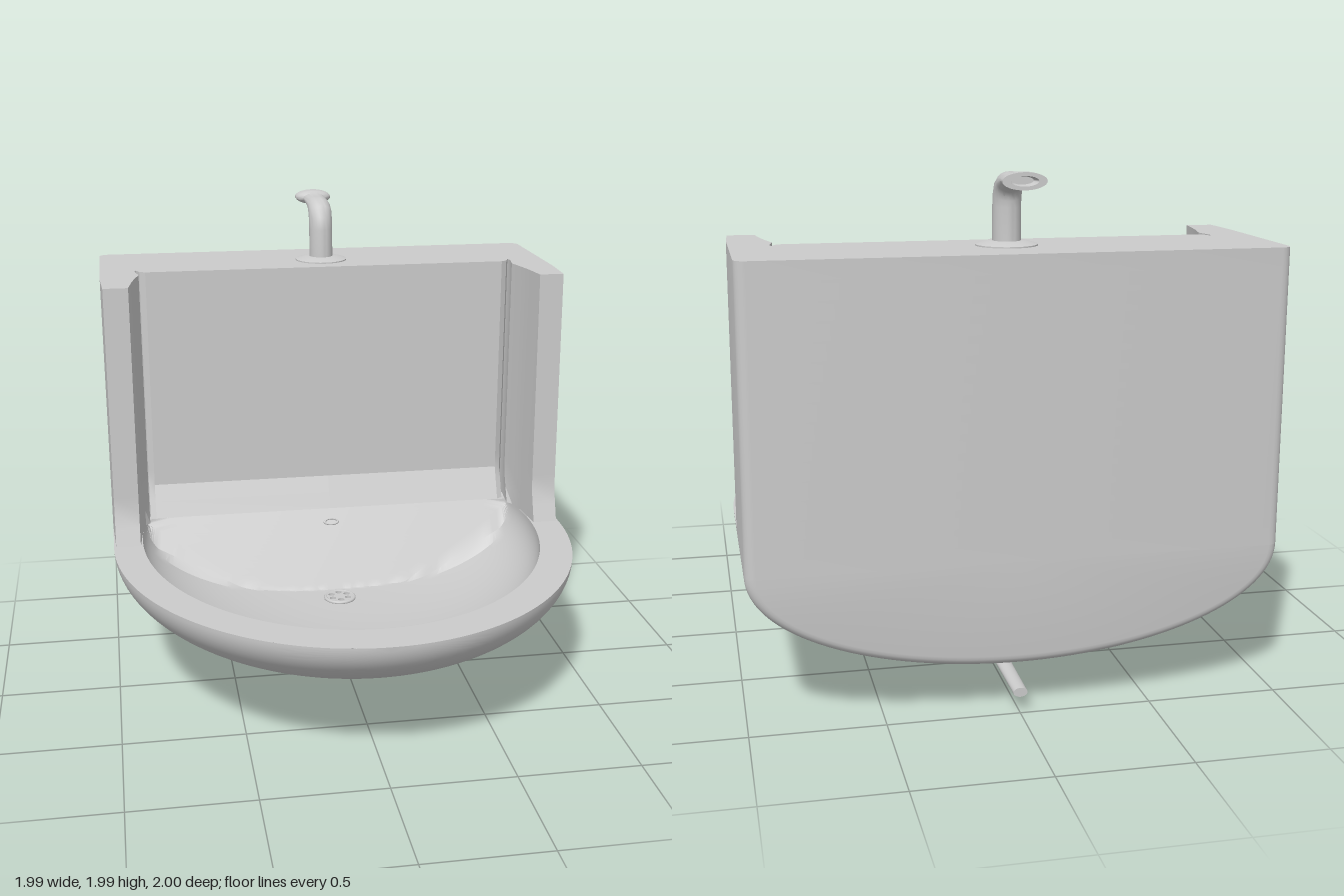
import * as THREE from 'three';
import { toCreasedNormals } from 'three/addons/utils/BufferGeometryUtils.js';

const material = new THREE.MeshStandardMaterial({ color: 0xcccccc, side: THREE.DoubleSide });
const RIM = 0.6, TOP = 1.72, W = 0.995;
const DRAIN_Z = -0.2, BACK_Z = -0.48, BOWL_X = 0.87, BOWL_Z = 1.04;

// Skin a list of equally long point rings
function loft(rings, closed) {
  const n = rings[0].length, pos = rings.flat(2), idx = [];
  const last = closed ? n : n - 1;
  for (let r = 0; r < rings.length - 1; r++) {
    for (let i = 0; i < last; i++) {
      const a = r * n + i, b = r * n + (i + 1) % n;
      idx.push(a, b, a + n, b, b + n, a + n);
    }
  }
  const g = new THREE.BufferGeometry();
  g.setAttribute('position', new THREE.Float32BufferAttribute(pos, 3));
  g.setIndex(idx);
  g.computeVertexNormals();
  return g;
}

// Underside: half-elliptical sections, rounded at the back, tapering to the front
function shellGeometry() {
  const rings = [];
  const section = (z, w, inset) => {
    const ring = [];
    for (let i = 0; i <= 64; i++) {
      const t = Math.PI * i / 64;
      ring.push([(W * w - inset) * Math.cos(t), RIM - (0.4 * w - inset) * Math.sin(t), z]);
    }
    rings.push(ring);
  };
  rings.push(Array.from({ length: 65 }, () => [0, RIM, -1]));
  for (let i = 0; i <= 5; i++) {
    const a = Math.PI / 2 * i / 5;
    section(-1 + 0.04 * (1 - Math.cos(a)), 1, 0.04 * (1 - Math.sin(a)));
  }
  section(-0.55, 1, 0);
  for (let i = 0; i <= 32; i++) {
    const t = Math.PI / 2 * i / 32;
    section(-0.15 + 1.15 * Math.sin(t), Math.cos(t), 0);
  }
  return toCreasedNormals(loft(rings, false), 0.7);
}

// Bowl opening: an ellipse cut straight at the back
function openingPoint(i, n) {
  const t = 2 * Math.PI * i / n;
  let x = BOWL_X * Math.cos(t), z = BOWL_Z * Math.sin(t);
  const limit = BACK_Z - DRAIN_Z;
  if (z < limit) { x *= limit / z; z = limit; }
  return [x, z];
}

// Bowl hollow with a sloping apron below the back wall
function bowlGeometry() {
  const n = 144, rings = [];
  for (let k = 0; k <= 40; k++) {
    const ring = [];
    for (let i = 0; i < n; i++) {
      const [ox, oz] = openingPoint(i, n);
      const s0 = 0.055 / Math.hypot(ox, oz);
      const s = s0 + (1 - s0) * Math.sin(Math.PI / 2 * k / 40);
      const x = ox * s, z = oz * s;
      const r = Math.min(1, Math.hypot(x / BOWL_X, z / BOWL_Z));
      const bowl = RIM - 0.33 * Math.sqrt(1 - r ** 2.5);
      const apron = RIM - 1.8 * (z + DRAIN_Z - BACK_Z);
      ring.push([x, Math.max(bowl, apron), z + DRAIN_Z]);
    }
    rings.push(ring);
  }
  return toCreasedNormals(loft(rings, true), 0.5);
}

// Flat rim around the opening
function rimGeometry() {
  const s = new THREE.Shape();
  s.moveTo(-W, 0.6);
  s.lineTo(-W, 0.15);
  s.absellipse(0, 0.15, W, 1.15, Math.PI, 2 * Math.PI, false);
  s.lineTo(W, 0.6);
  const hole = [];
  for (let i = 0; i < 144; i++) {
    const [x, z] = openingPoint(i, 144);
    hole.push(new THREE.Vector2(x, -(z + DRAIN_Z)));
  }
  s.holes.push(new THREE.Path(hole));
  return new THREE.ShapeGeometry(s, 48).rotateX(-Math.PI / 2).translate(0, RIM, 0);
}

// Upright back with two side wings, flared out at its foot
function wallGeometry() {
  const half = [[0, -0.54], [0.8, -0.54], [0.825, -0.555], [0.84, -0.59], [0.845, -0.56],
    [0.83, -0.48], [0.85, -0.4], [0.865, -0.32], [0.88, -0.21], [0.985, -0.21], [W, -0.4], [W, -0.96]];
  for (let i = 1; i <= 5; i++) {
    const a = Math.PI / 2 * i / 5;
    half.push([W - 0.04 + 0.04 * Math.cos(a), -0.96 - 0.04 * Math.sin(a)]);
  }
  const mirrored = half.slice(1).reverse().map(([x, z]) => [-x, z]);
  const shape = new THREE.Shape([...half, ...mirrored].map(([x, z]) => new THREE.Vector2(x, -z)));
  const g = new THREE.ExtrudeGeometry(shape, { depth: TOP - RIM, steps: 16, bevelEnabled: false });
  g.rotateX(-Math.PI / 2).translate(0, RIM, 0);
  const p = g.attributes.position;
  for (let i = 0; i < p.count; i++) {
    const x = Math.abs(p.getX(i)), y = p.getY(i), z = p.getZ(i);
    const flare = Math.max(0, (0.74 - y) / 0.14);
    if (z > -0.25) p.setZ(i, z + 0.045 * flare + 0.015 * (TOP - y));
    else if (x < 0.83 && z > -0.57) p.setZ(i, z + 0.06 * flare);
  }
  return toCreasedNormals(g, 0.4);
}

// Spout: upright pipe bending backwards, flattened and flared at the mouth
function spoutGeometry() {
  // y, z, tilt, half width, half thickness
  const stations = [[TOP, -0.725, 0, 0.052, 0.056], [1.86, -0.725, 0, 0.052, 0.056],
    [1.9, -0.73, 0.3, 0.052, 0.056], [1.932, -0.748, 0.7, 0.052, 0.05], [1.951, -0.78, 1.1, 0.051, 0.041],
    [1.96, -0.83, 1.4, 0.05, 0.032], [1.968, -0.93, 1.57, 0.05, 0.022], [1.969, -0.945, 1.57, 0.072, 0.03],
    [1.969, -0.96, 1.57, 0.08, 0.031], [1.969, -1, 1.57, 0.08, 0.031], [1.969, -1, 1.57, 0.05, 0.018],
    [1.969, -0.96, 1.57, 0.04, 0.014], [1.969, -0.96, 1.57, 0, 0]];
  const rings = stations.map(([y, z, tilt, rx, rt]) => Array.from({ length: 32 }, (_, i) => {
    const t = -2 * Math.PI * i / 32, d = rt * Math.sin(t);
    return [rx * Math.cos(t), y + d * Math.sin(tilt), z + d * Math.cos(tilt)];
  }));
  return toCreasedNormals(loft(rings, true), 0.6);
}

// Drain grate: disc with six round holes
function grateGeometry() {
  const s = new THREE.Shape().absarc(0, 0, 0.064, 0, Math.PI * 2);
  for (let i = 0; i < 6; i++) {
    const a = Math.PI / 6 + i * Math.PI / 3;
    s.holes.push(new THREE.Path().absarc(0.04 * Math.cos(a), 0.04 * Math.sin(a), 0.014, 0, Math.PI * 2, true));
  }
  const g = new THREE.ExtrudeGeometry(s, { depth: 0.012, bevelEnabled: false, curveSegments: 20 });
  return g.rotateX(-Math.PI / 2);
}

function turned(points) {
  const g = new THREE.LatheGeometry(points.map(([r, y]) => new THREE.Vector2(r, y)), 40);
  return toCreasedNormals(g, 0.5);
}

export function createModel() {
  const model = new THREE.Group();
  const add = (name, geometry, x = 0, y = 0, z = 0) => {
    const mesh = new THREE.Mesh(geometry, material);
    mesh.name = name;
    mesh.position.set(x, y, z);
    model.add(mesh);
    return mesh;
  };

  add('basinShell', shellGeometry());
  add('basinBowl', bowlGeometry());
  add('basinRim', rimGeometry());
  add('backWallAndWings', wallGeometry());

  // Overflow slot on the apron
  const slot = add('overflowSlot', new THREE.TorusGeometry(0.03, 0.006, 10, 32), 0, 0.545, -0.447);
  slot.rotation.x = -0.5;
  slot.scale.y = 0.45;

  // Drain
  add('drainGrate', grateGeometry(), 0, 0.268, DRAIN_Z);
  add('drainRing', new THREE.TorusGeometry(0.064, 0.008, 10, 40).rotateX(Math.PI / 2), 0, 0.274, DRAIN_Z);

  // Trap and waste pipe
  add('drainTrap', turned([[0, 0.01], [0.08, 0.01], [0.08, 0.052], [0.095, 0.052], [0.1, 0.062],
    [0.068, 0.142], [0.05, 0.145], [0.05, 0.24]]), 0, 0, -0.17);
  const pipe = add('wastePipe', new THREE.CylinderGeometry(0.018, 0.022, 0.78, 24).rotateX(-Math.PI / 2), 0, 0.092, -0.61);
  pipe.scale.x = 1.5;

  // Spout
  add('spoutFlange', turned([[0.115, TOP], [0.115, TOP + 0.005], [0.07, TOP + 0.018], [0, TOP + 0.018]]), 0, 0, -0.725);
  add('spout', spoutGeometry());

  return model;
}
